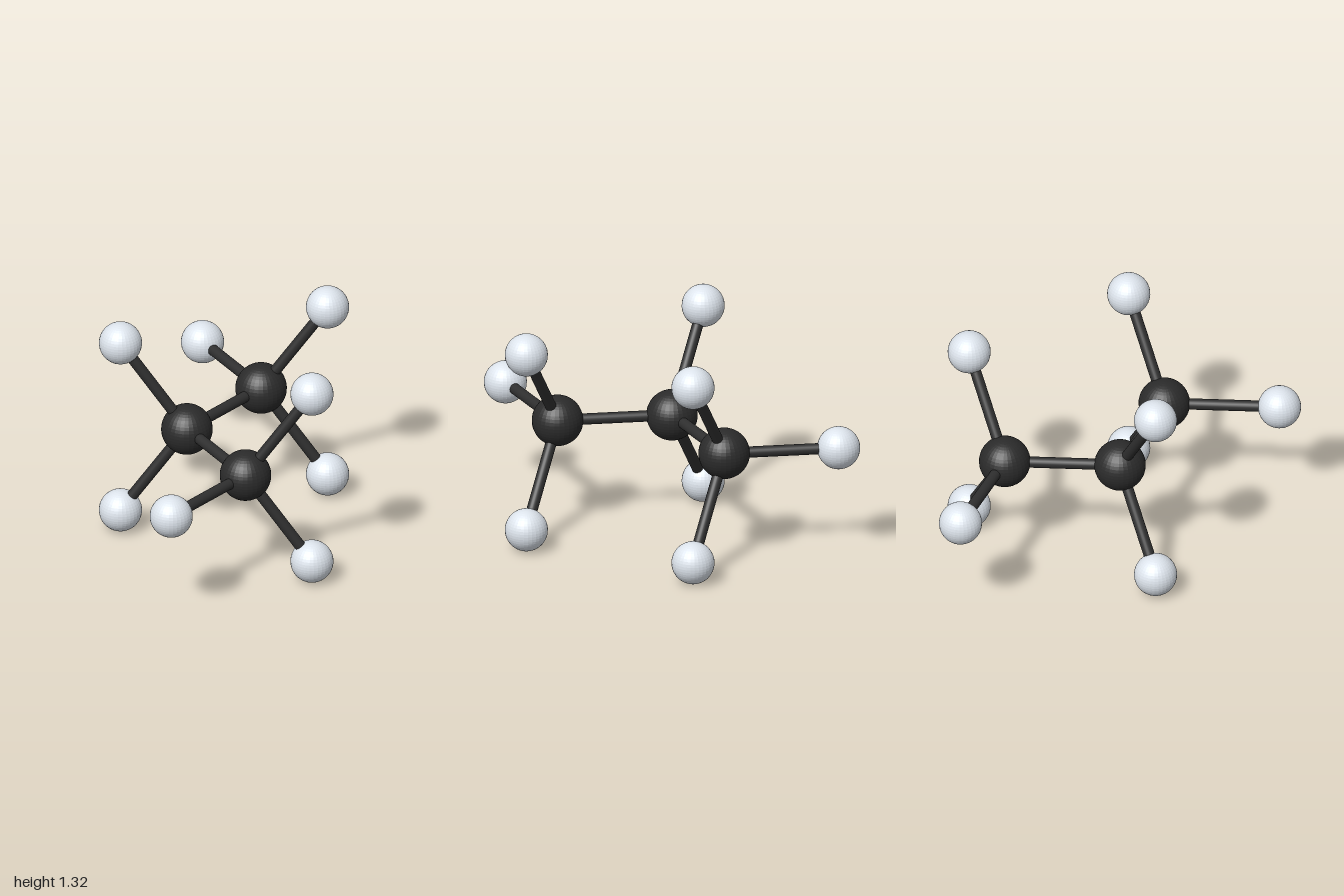
import * as THREE from 'three';

export function createModel() {
  const model = new THREE.Group();
  model.name = 'molecule';

  const L = 0.658;            // length of every bond
  const R_SMALL = 0.123, R_LARGE = 0.147, R_BOND = 0.032;
  const along = L / 3, deep = L * Math.sqrt(8) / 3;   // tetrahedral offsets
  const rise = L * Math.sqrt(2 / 3), half = deep / 2;
  const midY = R_SMALL + rise, z0 = -deep / 4;

  const dark = new THREE.MeshStandardMaterial({ color: 0x2b2b2b, flatShading: true });
  const pale = new THREE.MeshStandardMaterial({ color: 0xdde4ec, flatShading: true });
  const rod = new THREE.MeshStandardMaterial({ color: 0x2f2f2f });
  const largeBall = new THREE.SphereGeometry(R_LARGE, 32, 24);
  const smallBall = new THREE.SphereGeometry(R_SMALL, 32, 24);
  const rodGeometry = new THREE.CylinderGeometry(R_BOND, R_BOND, L, 24);

  function addBall(name, geometry, material, position) {
    const ball = new THREE.Mesh(geometry, material);
    ball.name = name;
    ball.position.copy(position);
    model.add(ball);
  }

  // Rod joining the centres of two atoms
  function addBond(name, a, b) {
    const bond = new THREE.Mesh(rodGeometry, rod);
    bond.name = name;
    bond.position.lerpVectors(a, b, 0.5);
    bond.quaternion.setFromUnitVectors(new THREE.Vector3(0, 1, 0), b.clone().sub(a).normalize());
    model.add(bond);
  }

  // Carbon chain, with the offsets to the hydrogens on each carbon
  const carbons = [
    { name: 'middle', at: [0, midY, z0],
      arms: [[-along, rise, -half], [-along, -rise, -half]] },
    { name: 'left', at: [L, midY, z0],
      arms: [[along, 0, -deep], [along, rise, half], [along, -rise, half]] },
    { name: 'right', at: [-along, midY, z0 + deep],
      arms: [[-L, 0, 0], [along, rise, half], [along, -rise, half]] },
  ];
  const centres = carbons.map((c) => new THREE.Vector3(...c.at));

  carbons.forEach(({ name, arms }, i) => {
    addBall(`${name}Carbon`, largeBall, dark, centres[i]);
    if (i > 0) addBond(`${name}ChainBond`, centres[0], centres[i]);
    arms.forEach((arm, j) => {
      const end = new THREE.Vector3(...arm).add(centres[i]);
      addBall(`${name}Hydrogen${j + 1}`, smallBall, pale, end);
      addBond(`${name}HydrogenBond${j + 1}`, centres[i], end);
    });
  });

  return model;
}
